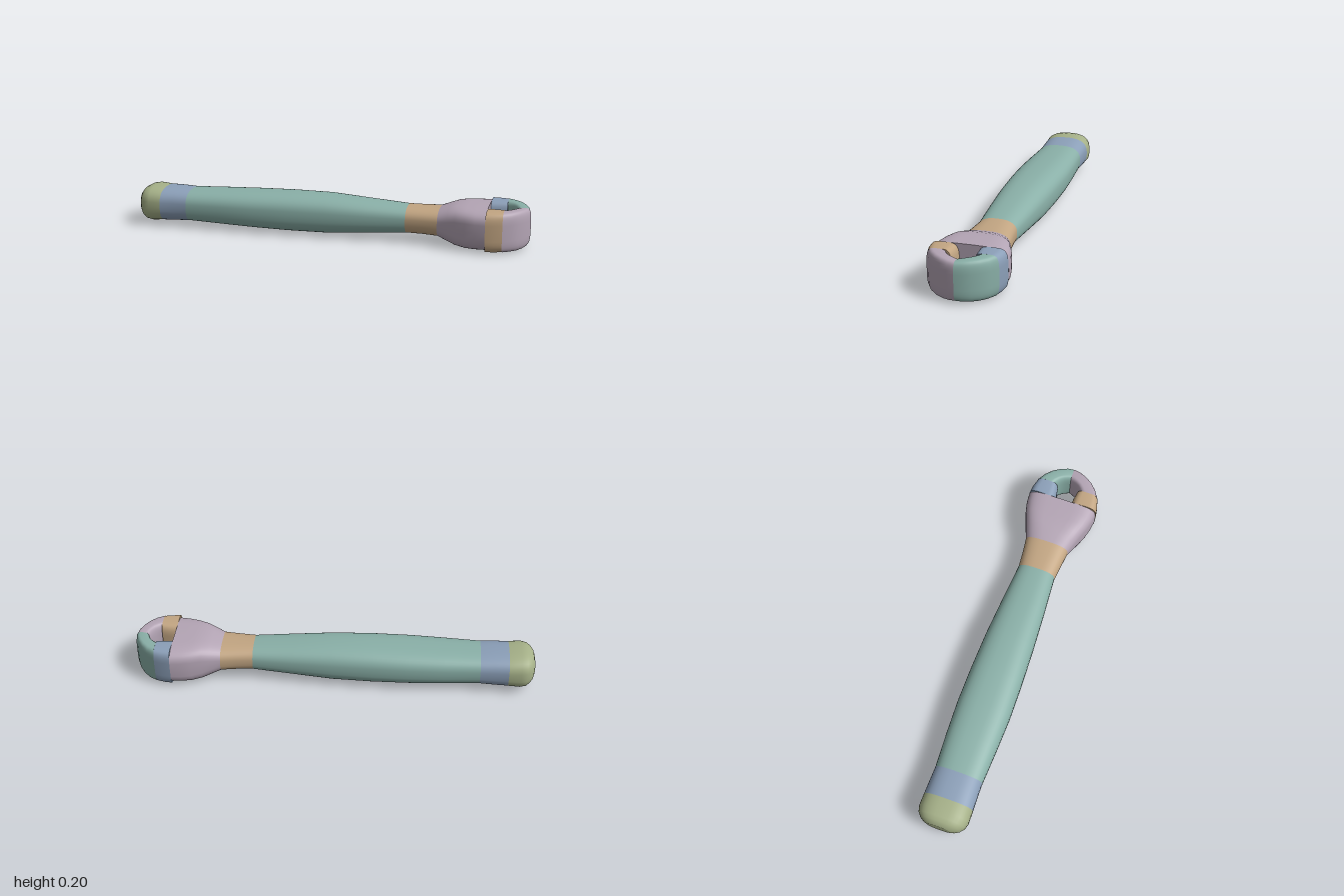
import * as THREE from 'three';

const paint = (name, color) => {
  const m = new THREE.MeshStandardMaterial({ color });
  m.name = name;
  return m;
};

const SEG = 40;

// Rounded-box cross-section lofted through a list of { c, u, v, n } rings, closed at both ends
function loft(rings) {
  const pos = [], idx = [];
  const power = (t, n) => Math.sign(t) * Math.pow(Math.abs(t), 2 / n);
  const addRing = ({ c, u, v, n }) => {
    const start = pos.length / 3;
    for (let j = 0; j < SEG; j++) {
      const a = (j / SEG) * Math.PI * 2;
      const p = c.clone().addScaledVector(u, power(Math.cos(a), n)).addScaledVector(v, power(Math.sin(a), n));
      pos.push(p.x, p.y, p.z);
    }
    return start;
  };
  const starts = rings.map(addRing);
  for (let i = 0; i < rings.length - 1; i++) {
    for (let j = 0; j < SEG; j++) {
      const k = (j + 1) % SEG, s = starts[i], e = starts[i + 1];
      idx.push(s + j, s + k, e + j, s + k, e + k, e + j);
    }
  }
  // End caps have their own vertices so their rims stay sharp
  [rings[0], rings[rings.length - 1]].forEach((ring, end) => {
    const s = addRing(ring), mid = pos.length / 3;
    pos.push(ring.c.x, ring.c.y, ring.c.z);
    for (let j = 0; j < SEG; j++) {
      const k = (j + 1) % SEG;
      idx.push(mid, end ? s + j : s + k, end ? s + k : s + j);
    }
  });
  const g = new THREE.BufferGeometry();
  g.setAttribute('position', new THREE.Float32BufferAttribute(pos, 3));
  g.setIndex(idx);
  g.computeVertexNormals();
  return g;
}

// Section across the arm: [x, bottom, top, back z, front z, squareness]
const armRing = ([x, y0, y1, z0, z1, n]) => ({
  c: new THREE.Vector3(x, (y0 + y1) / 2, (z0 + z1) / 2),
  u: new THREE.Vector3(0, (y1 - y0) / 2, 0),
  v: new THREE.Vector3(0, 0, (z1 - z0) / 2),
  n,
});

// Section across a finger: [outer x, outer z, inner x, inner z, bottom, top]; side mirrors z
const fingerRing = (side) => ([ox, oz, ix, iz, y0, y1]) => ({
  c: new THREE.Vector3((ox + ix) / 2, (y0 + y1) / 2, (side * (oz + iz)) / 2),
  u: new THREE.Vector3(0, (y1 - y0) / 2, 0),
  v: new THREE.Vector3((side * (ox - ix)) / 2, 0, (oz - iz) / 2),
  n: 4,
});

export function createModel() {
  const group = new THREE.Group();
  const teal = paint('teal', 0x8ab0a8);
  const mauve = paint('mauve', 0xb4a5b5);
  const blue = paint('blue', 0x8b9fb8);
  const tan = paint('tan', 0xc2a582);
  const olive = paint('olive', 0xa5b088);

  const add = (name, material, rings) => {
    const mesh = new THREE.Mesh(loft(rings), material);
    mesh.name = name;
    group.add(mesh);
  };

  // Arm, from the rounded end to the palm
  add('endCap', olive, [
    [-1, 0.065, 0.145, -0.06, 0.055, 2.4], [-0.993, 0.045, 0.165, -0.082, 0.077, 2.5],
    [-0.98, 0.03, 0.18, -0.103, 0.098, 2.6], [-0.96, 0.018, 0.191, -0.12, 0.115, 2.7],
    [-0.93, 0.013, 0.196, -0.128, 0.123, 2.7], [-0.87, 0.018, 0.19, -0.127, 0.122, 2.7],
  ].map(armRing));
  add('shoulderBand', blue, [
    [-0.87, 0.018, 0.19, -0.127, 0.122, 2.7], [-0.8, 0.02, 0.189, -0.125, 0.119, 2.7],
    [-0.73, 0.024, 0.185, -0.123, 0.118, 2.7],
  ].map(armRing));
  add('arm', teal, [
    [-0.73, 0.024, 0.185, -0.123, 0.118, 2.7], [-0.55, 0.018, 0.191, -0.133, 0.127, 2.7],
    [-0.38, 0.013, 0.196, -0.139, 0.133, 2.7], [-0.2, 0.009, 0.2, -0.137, 0.13, 2.7],
    [0, 0.009, 0.2, -0.13, 0.122, 2.6], [0.2, 0.024, 0.185, -0.116, 0.11, 2.6],
    [0.4, 0.038, 0.171, -0.1, 0.095, 2.6],
  ].map(armRing));
  add('wrist', tan, [
    [0.4, 0.038, 0.171, -0.1, 0.095, 2.6], [0.48, 0.039, 0.17, -0.107, 0.103, 2.7],
    [0.56, 0.036, 0.171, -0.117, 0.112, 2.8],
  ].map(armRing));
  add('palm', mauve, [
    [0.56, 0.036, 0.171, -0.117, 0.112, 2.8], [0.61, 0.018, 0.188, -0.135, 0.131, 3.2],
    [0.65, 0.006, 0.198, -0.15, 0.146, 3.7], [0.7, 0, 0.2, -0.168, 0.164, 4],
    [0.75, 0, 0.2, -0.18, 0.177, 4], [0.8, 0.002, 0.2, -0.184, 0.183, 4],
  ].map(armRing));

  // Two curved fingers that meet at the tip
  const base = [
    [0.8, 0.183, 0.8, 0.043, 0.002, 0.2], [0.84, 0.179, 0.84, 0.045, 0.003, 0.2],
    [0.88, 0.167, 0.88, 0.052, 0.005, 0.2],
  ];
  const tip = [
    [0.88, 0.167, 0.88, 0.065, 0.005, 0.2], [0.92, 0.143, 0.895, 0.055, 0.005, 0.2],
    [0.952, 0.112, 0.908, 0.043, 0.005, 0.2], [0.978, 0.073, 0.918, 0.028, 0.006, 0.199],
    [0.994, 0.035, 0.925, 0.013, 0.008, 0.197], [1, 0, 0.93, 0, 0.011, 0.194],
  ];
  [['front', 1, tan, mauve], ['back', -1, blue, teal]].forEach(([name, side, baseColor, tipColor]) => {
    add(name + 'FingerBase', baseColor, base.map(fingerRing(side)));
    add(name + 'FingerTip', tipColor, tip.map(fingerRing(side)));
  });

  return group;
}
